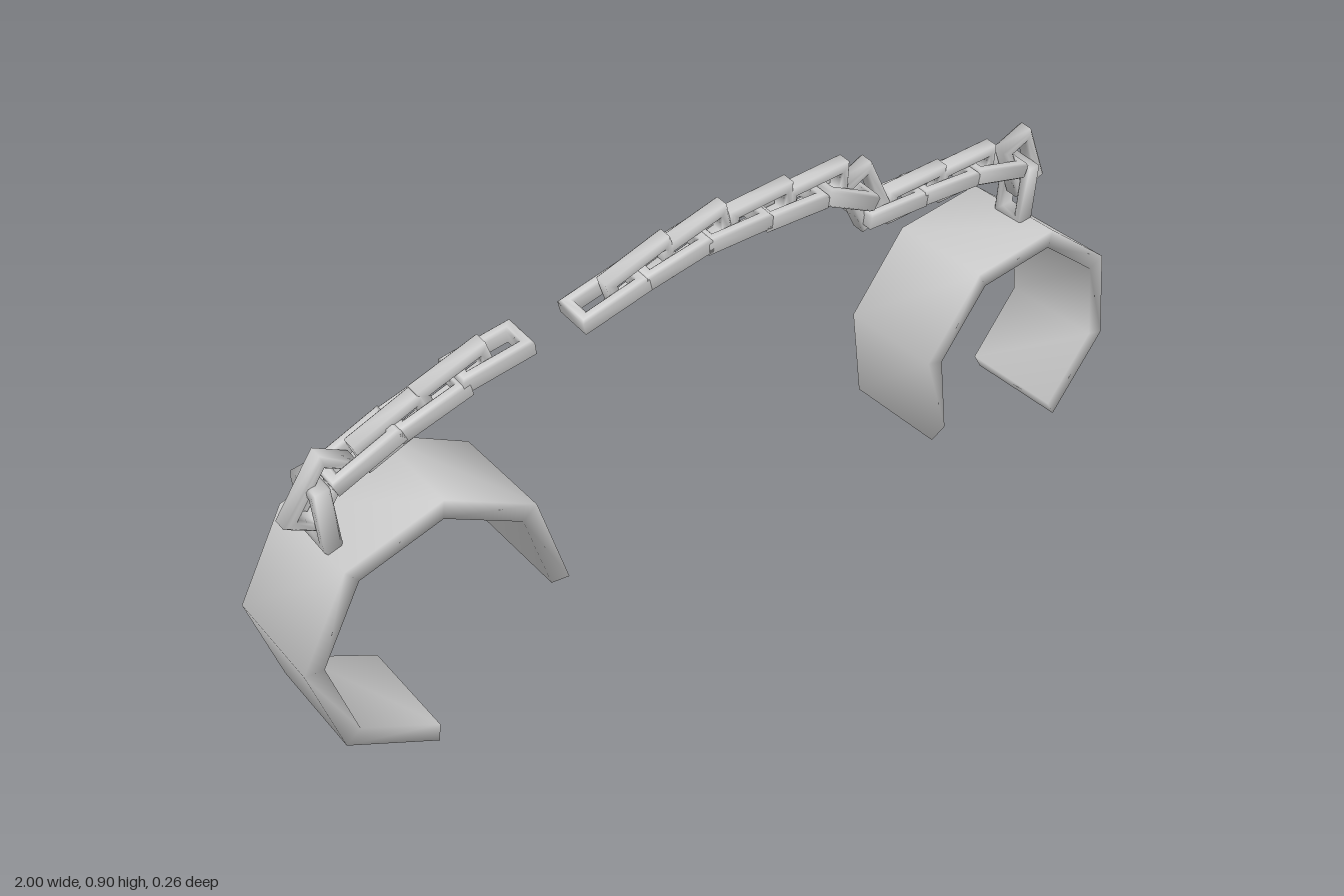
import * as THREE from 'three';
import { mergeVertices } from 'three/addons/utils/BufferGeometryUtils.js';

const material = new THREE.MeshStandardMaterial({ color: 0xcccccc });

// Weld corners so the shading rolls softly over the edges
function soften(geometry) {
  geometry.deleteAttribute('normal');
  geometry.deleteAttribute('uv');
  const welded = mergeVertices(geometry, 1e-4);
  welded.computeVertexNormals();
  return welded;
}

// Open eight-sided band: six sides, two missing
function createCuff(name, x, y, startDegrees, zShift, tiltX, tiltY) {
  const outer = [], inner = [];
  for (let i = 0; i <= 6; i++) {
    const a = THREE.MathUtils.degToRad(startDegrees + i * 45);
    outer.push(new THREE.Vector2(Math.cos(a), Math.sin(a)).multiplyScalar(0.277));
    inner.unshift(new THREE.Vector2(Math.cos(a), Math.sin(a)).multiplyScalar(0.237));
  }
  const geometry = new THREE.ExtrudeGeometry(new THREE.Shape([...outer, ...inner]), {
    depth: 0.235, bevelEnabled: false,
  });
  geometry.translate(0, 0, -0.1175);
  const cuff = new THREE.Mesh(soften(geometry), material);
  cuff.name = name;
  cuff.position.set(x, y, zShift);
  cuff.rotation.set(tiltX, tiltY, 0);
  return cuff;
}

// Rectangular frame with lightly bevelled bars, long along x
function createLinkGeometry() {
  const length = 0.15, width = 0.08, bar = 0.022, depth = 0.037, bevel = 0.005;
  const rectangle = (w, h) => [[-w, -h], [w, -h], [w, h], [-w, h]]
    .map(([px, py]) => new THREE.Vector2(px / 2, py / 2));
  const shape = new THREE.Shape(rectangle(length - 2 * bevel, width - 2 * bevel));
  shape.holes.push(new THREE.Path(
    rectangle(length - 2 * bar + 2 * bevel, width - 2 * bar + 2 * bevel).reverse()));
  const geometry = new THREE.ExtrudeGeometry(shape, {
    depth: depth - 2 * bevel, bevelSize: bevel, bevelThickness: bevel, bevelSegments: 1,
  });
  geometry.translate(0, 0, -depth / 2 + bevel);
  return soften(geometry);
}

// Links as [x, y, angle in degrees]; every other one is turned a quarter
const leftOverChain = [
  [-0.90, 0.575, 98], [-0.90, 0.62, 60], [-0.815, 0.668, 25], [-0.75, 0.687, 24],
  [-0.682, 0.716, 18], [-0.623, 0.743, 21], [-0.553, 0.76, 10],
];
const longChain = [
  [-0.302, 0.79, 16], [-0.229, 0.816, 21], [-0.163, 0.826, 13], [-0.104, 0.842, 18],
  [-0.024, 0.84, 2], [0.045, 0.847, 6], [0.115, 0.836, 0], [0.184, 0.844, 5],
  [0.254, 0.813, -25], [0.318, 0.784, -60], [0.388, 0.738, 0], [0.459, 0.738, 4],
  [0.532, 0.738, -2], [0.598, 0.738, 4], [0.676, 0.722, -13], [0.767, 0.704, -63],
  [0.778, 0.632, -86],
];

// The whole chain leans slightly forward around its lower end
const pivotY = 0.57;

function createChain(name, links, linkGeometry) {
  const chain = new THREE.Group();
  chain.name = name;
  links.forEach(([x, y, degrees], i) => {
    const link = new THREE.Mesh(linkGeometry, material);
    link.name = 'chainLink' + (i + 1);
    link.position.set(x, y - pivotY, 0);
    link.rotation.order = 'ZYX';
    link.rotation.set(i % 2 === 0 ? Math.PI / 2 : 0, 0, THREE.MathUtils.degToRad(degrees));
    chain.add(link);
  });
  chain.position.set(0, pivotY, 0.024);
  chain.rotation.x = 0.13;
  return chain;
}

export function createModel() {
  const model = new THREE.Group();
  model.name = 'brokenShackles';
  const linkGeometry = createLinkGeometry();
  model.add(
    createCuff('rightCuff', -0.724, 0.285, -4.7, -0.006, 0.026, -0.025),
    createCuff('leftCuff', 0.727, 0.3, -59, 0.006, 0.026, -0.005),
    createChain('shortChain', leftOverChain, linkGeometry),
    createChain('longChain', longChain, linkGeometry),
  );
  return model;
}
